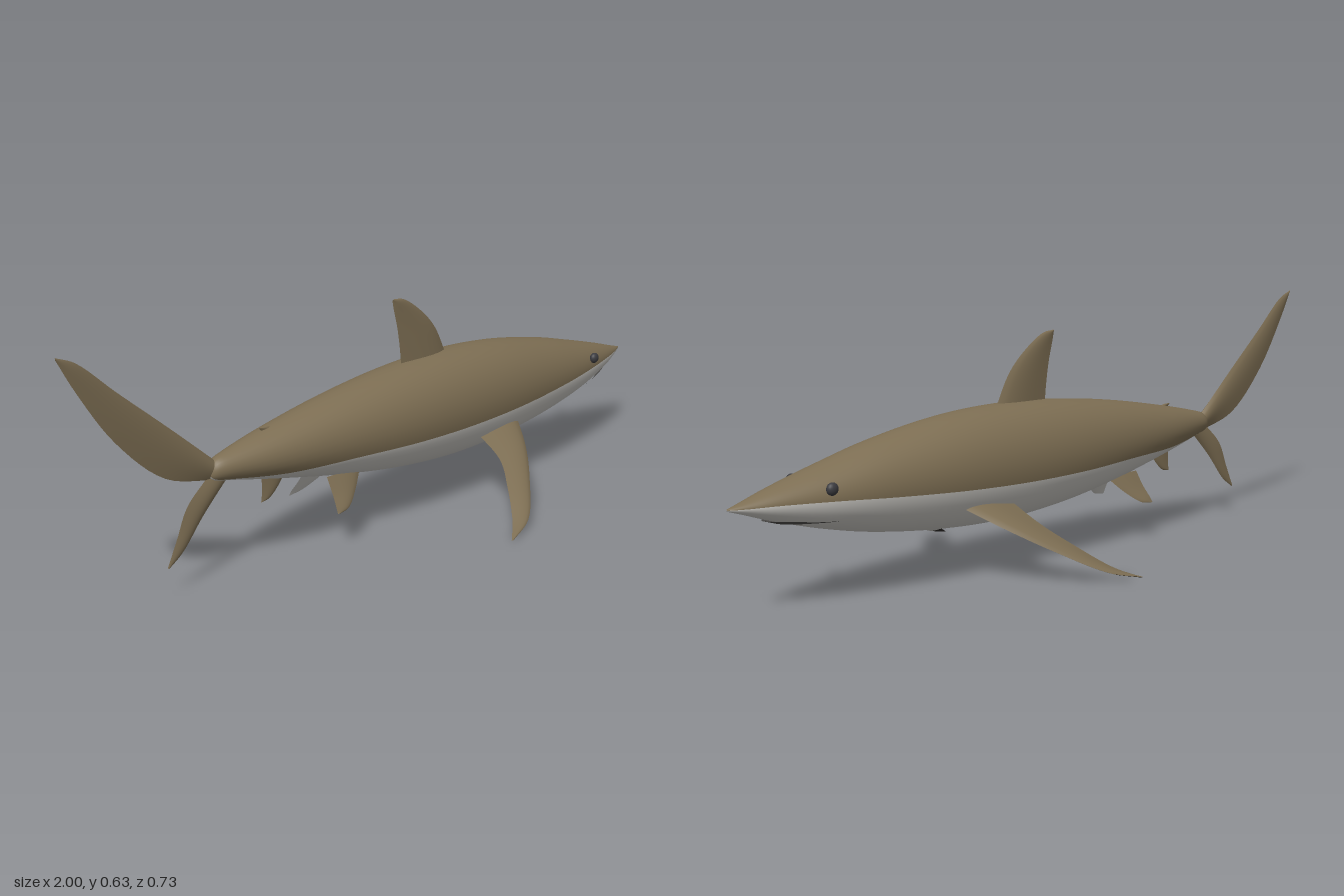
import * as THREE from 'three';
import { mergeVertices } from 'three/addons/utils/BufferGeometryUtils.js';

const V = (x, y, z = 0) => new THREE.Vector3(x, y, z);

function material(name, color, side = THREE.FrontSide) {
  const m = new THREE.MeshStandardMaterial({ color, side });
  m.name = name;
  return m;
}

// Grid surface: at(i, j) gives a point, bucket(i, j) picks the material of a cell
function surface(nu, nv, at, bucket = () => 0, flip = false) {
  const pos = [], lists = [];
  for (let i = 0; i <= nu; i++)
    for (let j = 0; j <= nv; j++) pos.push(...at(i, j).toArray());
  for (let i = 0; i < nu; i++)
    for (let j = 0; j < nv; j++) {
      const a = i * (nv + 1) + j, b = a + nv + 1;
      const list = (lists[bucket(i, j)] ??= []);
      if (flip) list.push(a, b + 1, b, a, a + 1, b + 1);
      else list.push(a, b, b + 1, a, b + 1, a + 1);
    }
  let g = new THREE.BufferGeometry();
  g.setAttribute('position', new THREE.Float32BufferAttribute(pos, 3));
  g.setIndex(lists.flat());
  let start = 0;
  lists.forEach((list, k) => {
    g.addGroup(start, list.length, k);
    start += list.length;
  });
  g = mergeVertices(g, 1e-5);
  g.computeVertexNormals();
  return g;
}

// Body stations: x, top, bottom, half width, height of the belly line
const stations = [
  [-0.605, 0.272, 0.262, 0.004, 0.265],
  [-0.59, 0.3, 0.25, 0.022, 0.255],
  [-0.54, 0.315, 0.239, 0.04, 0.247],
  [-0.4, 0.343, 0.206, 0.072, 0.232],
  [-0.2, 0.376, 0.163, 0.102, 0.23],
  [0, 0.398, 0.13, 0.121, 0.224],
  [0.2, 0.405, 0.114, 0.127, 0.223],
  [0.4, 0.393, 0.119, 0.122, 0.228],
  [0.6, 0.359, 0.142, 0.104, 0.238],
  [0.75, 0.322, 0.172, 0.082, 0.247],
  [0.88, 0.287, 0.208, 0.05, 0.251],
  [0.96, 0.263, 0.235, 0.021, 0.25],
  [1, 0.252, 0.248, 0.002, 0.25],
];
const curves = [1, 2, 3, 4].map(
  (k) => new THREE.SplineCurve(stations.map((s) => new THREE.Vector2(s[0], s[k]))));

function section(t) {
  const [top, bottom, half, line] = curves.map((c) => c.getPoint(t));
  return {
    x: top.x, c: (top.y + bottom.y) / 2, h: (top.y - bottom.y) / 2,
    w: half.y, line: line.y,
  };
}

function bodyGeometry() {
  const rings = 72, arc = 20;
  return surface(rings, arc * 2, (i, j) => {
    const s = section(i / rings);
    const a0 = Math.asin(THREE.MathUtils.clamp((s.line - s.c) / s.h, -0.9, 0.9));
    const a = j <= arc
      ? a0 + (Math.PI - 2 * a0) * (j / arc)
      : Math.PI - a0 + (Math.PI + 2 * a0) * (j / arc - 1);
    return V(s.x, s.c + s.h * Math.sin(a), s.w * Math.cos(a));
  }, (i, j) => (j < arc ? 0 : 1));
}

// Forward-facing point of the body surface at a given y and z
function snoutPoint(y, z) {
  let lo = 0.6, hi = 1;
  for (let k = 0; k < 30; k++) {
    const m = (lo + hi) / 2, s = section(m);
    if ((z / s.w) ** 2 + ((y - s.c) / s.h) ** 2 < 1) lo = m;
    else hi = m;
  }
  return V(section(lo).x + 0.006, y - 0.002, z * 1.02);
}

// Fin lofted root to tip between a leading and a trailing edge, with a lens section
function fin(name, lead, trail, normal, thick, upper, lower, tip = lower, tipStart = 2) {
  const group = new THREE.Group();
  group.name = name;
  const L = new THREE.CatmullRomCurve3(lead), T = new THREE.CatmullRomCurve3(trail);
  const n = normal.clone().normalize(), nu = 24, nv = 12;
  const chord = T.getPoint(0.4).sub(L.getPoint(0.4));
  const span = L.getPoint(0.6).sub(L.getPoint(0.2));
  const facing = span.cross(chord).dot(n) > 0;
  for (const side of [1, -1]) {
    const g = surface(nu, nv, (i, j) => {
      const s = i / nu, u = j / nv;
      const d = side * thick * (1 - 0.85 * s) * Math.sin(Math.PI * u ** 0.7);
      return L.getPoint(s).lerp(T.getPoint(s), u).addScaledVector(n, d);
    }, (i) => (i / nu >= tipStart ? 1 : 0), facing !== side > 0);
    const mesh = new THREE.Mesh(g, side > 0 ? [upper, upper] : [lower, tip]);
    mesh.name = name + (side > 0 ? 'Upper' : 'Lower');
    group.add(mesh);
  }
  return group;
}

export function createModel() {
  const model = new THREE.Group();
  model.name = 'shark';
  const brown = material('brown back', 0x7d6e53);
  const pale = material('pale belly', 0xc2c0bb);
  const dark = material('dark fin tip', 0x2f2c29);
  const eyeMat = material('eye grey', 0x3b3b3f);
  const mouthMat = material('mouth grey', 0x4c4a48, THREE.DoubleSide);

  const body = new THREE.Mesh(bodyGeometry(), [brown, pale]);
  body.name = 'body';
  model.add(body);

  // Upright fins on the centre line
  const upright = (name, lead, trail, thick) => model.add(fin(name,
    lead.map((p) => V(...p)), trail.map((p) => V(...p)), V(0, 0, 1), thick, brown, brown));
  upright('dorsalFin',
    [[0.225, 0.37], [0.17, 0.475], [0.115, 0.53], [0.05, 0.571], [0.012, 0.577]],
    [[0.045, 0.37], [0.038, 0.44], [0.028, 0.5], [0.015, 0.55], [0.01, 0.573]], 0.012);
  upright('secondDorsalFin',
    [[-0.385, 0.325], [-0.415, 0.341], [-0.445, 0.344]],
    [[-0.44, 0.32], [-0.44, 0.334], [-0.447, 0.342]], 0.006);
  upright('analFin',
    [[-0.36, 0.225], [-0.39, 0.183], [-0.42, 0.158], [-0.445, 0.153]],
    [[-0.445, 0.23], [-0.443, 0.19], [-0.445, 0.165], [-0.447, 0.154]], 0.006);
  upright('upperTailFin',
    [[-0.57, 0.285], [-0.714, 0.41], [-0.85, 0.525], [-0.95, 0.612], [-1, 0.634]],
    [[-0.59, 0.25], [-0.73, 0.292], [-0.86, 0.41], [-0.955, 0.55], [-0.998, 0.628]], 0.012);
  upright('lowerTailFin',
    [[-0.54, 0.255], [-0.625, 0.172], [-0.69, 0.098], [-0.732, 0.069]],
    [[-0.61, 0.262], [-0.672, 0.205], [-0.705, 0.135], [-0.735, 0.073]], 0.009);

  // Paired fins and eyes
  for (const [label, s] of [['right', -1], ['left', 1]]) {
    const pts = (list) => list.map(([x, y, z]) => V(x, y, z * s));
    model.add(fin(label + 'PectoralFin',
      pts([[0.42, 0.19, 0.08], [0.35, 0.135, 0.175], [0.27, 0.082, 0.255],
        [0.165, 0.025, 0.338], [0.072, 0.002, 0.365]]),
      pts([[0.25, 0.182, 0.08], [0.235, 0.13, 0.18], [0.19, 0.083, 0.245],
        [0.125, 0.028, 0.318], [0.07, 0.002, 0.362]]),
      V(0, 0.84, 0.54 * s), 0.012, brown, pale, dark, 0.78));
    model.add(fin(label + 'PelvicFin',
      pts([[-0.15, 0.175, 0.04], [-0.19, 0.135, 0.065], [-0.235, 0.104, 0.087], [-0.27, 0.098, 0.091]]),
      pts([[-0.265, 0.18, 0.04], [-0.268, 0.14, 0.064], [-0.274, 0.112, 0.083], [-0.276, 0.099, 0.09]]),
      V(0, 0.55, 0.83 * s), 0.006, brown, pale));
    const eye = new THREE.Mesh(new THREE.SphereGeometry(0.015, 20, 14), eyeMat);
    eye.name = label + 'Eye';
    eye.scale.z = 0.75;
    eye.position.set(0.777, 0.277, 0.077 * s);
    model.add(eye);
  }

  // Mouth: thin curved plate laid over the underside of the snout
  const mouth = new THREE.Mesh(surface(28, 2, (i, j) => {
    const f = (i / 28) * 2 - 1, e = Math.abs(f);
    const top = 0.215 - 0.013 * THREE.MathUtils.smoothstep(e, 0.4, 1);
    const low = 0.205 - 0.004 * e;
    return snoutPoint(THREE.MathUtils.lerp(low, top, j / 2), f * 0.066);
  }, () => 0, true), mouthMat);
  mouth.name = 'mouth';
  model.add(mouth);
  return model;
}
